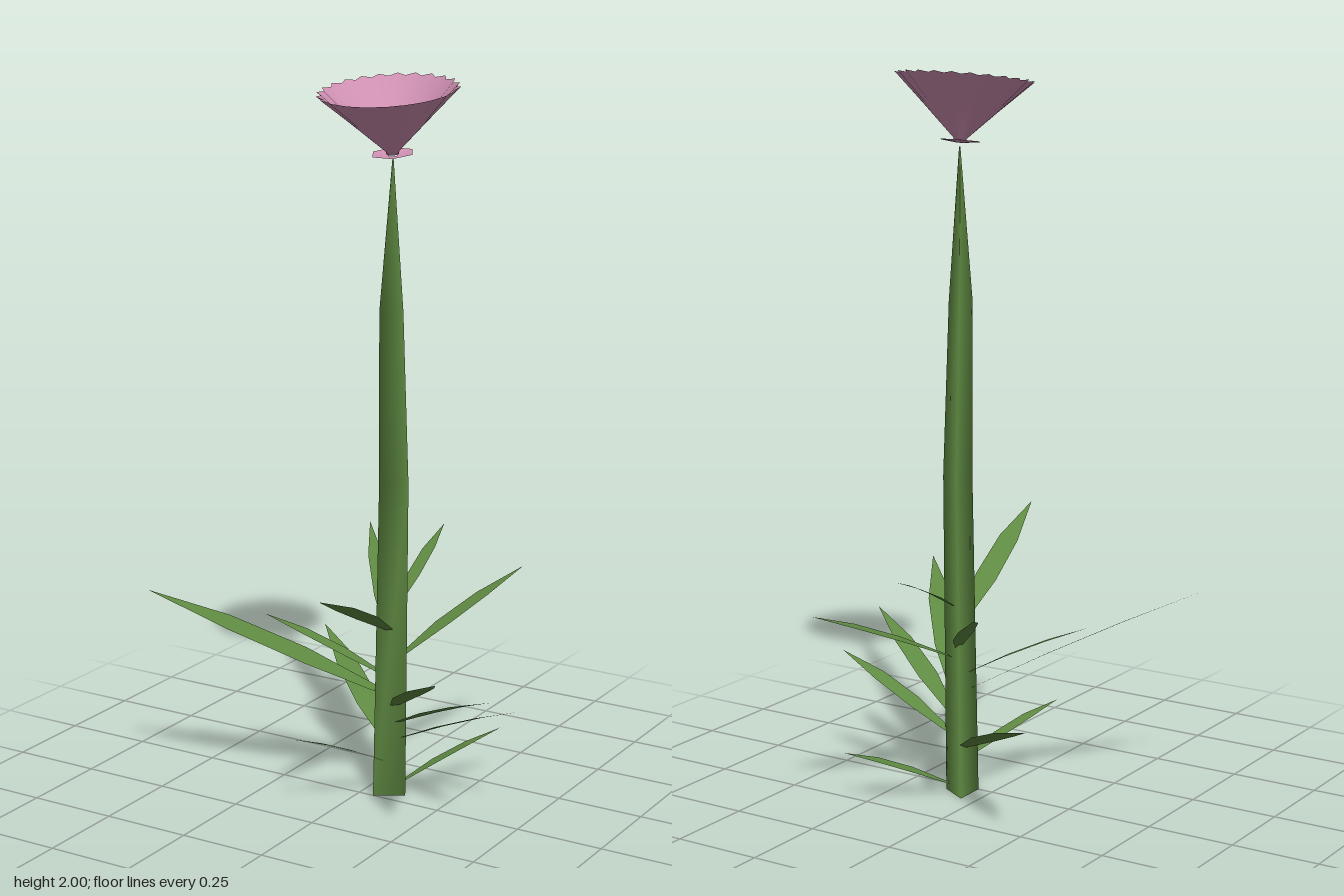
import * as THREE from 'three';
import { mergeVertices } from 'three/addons/utils/BufferGeometryUtils.js';

const green = new THREE.MeshStandardMaterial({ color: 0x5f8a42, side: THREE.DoubleSide });
green.name = 'leaf green';
const pink = new THREE.MeshStandardMaterial({ color: 0xcf90b2, side: THREE.DoubleSide });
pink.name = 'petal pink';

function part(name, geometry, material) {
  const mesh = new THREE.Mesh(geometry, material);
  mesh.name = name;
  return mesh;
}

// Three-sided, softly shaded stem that sways and tapers to a point; rings are [x, y, z, radius]
function stemGeometry() {
  const rings = [
    [0.105, 1.79, 0.004, 0.002],
    [0.08, 1.38, -0.033, 0.037],
    [0.076, 0.9, -0.056, 0.046],
    [0.071, 0, -0.045, 0.052],
  ];
  let g = new THREE.CylinderGeometry(1, 1, 1, 3, rings.length - 1, true, Math.PI / 2);
  const p = g.attributes.position;
  for (let i = 0; i < p.count; i++) {
    const [x, y, z, r] = rings[Math.floor(i / 4)];
    p.setXYZ(i, x + p.getX(i) * r, y, z + p.getZ(i) * r);
  }
  g.deleteAttribute('uv');
  g.deleteAttribute('normal');
  g = mergeVertices(g);
  g.computeVertexNormals();
  return g;
}

// Flat blade in three segments from the stem out to its tip; roll lifts one edge
function leafGeometry(baseY, tip, width, roll) {
  const dir = new THREE.Vector3(tip[0] - 0.08, 0, tip[2] + 0.048).normalize();
  const side = new THREE.Vector3(dir.z, roll, -dir.x);
  const base = new THREE.Vector3(0.08, baseY, -0.048).addScaledVector(dir, 0.028);
  const end = new THREE.Vector3(...tip);
  const positions = [];
  const index = [];
  [[0, 0.35, 0], [0.33, 1, 0.008], [0.66, 0.9, 0.008], [1, 0.01, 0]].forEach(([t, w, lift], i) => {
    const c = base.clone().lerp(end, t);
    c.y += lift;
    for (const s of [0.5, -0.5]) {
      const v = c.clone().addScaledVector(side, s * w * width);
      positions.push(v.x, v.y, v.z);
    }
    if (i > 0) {
      const a = 2 * i - 2;
      index.push(a, a + 2, a + 1, a + 1, a + 2, a + 3);
    }
  });
  const g = new THREE.BufferGeometry();
  g.setAttribute('position', new THREE.Float32BufferAttribute(positions, 3));
  g.setIndex(index);
  g.computeVertexNormals();
  return g;
}

// Funnel-shaped bloom with a toothed rim
function bloomGeometry() {
  const teeth = 24;
  const profile = [[0, 0.004], [0.016, 0.004], [0.018, 0.012], [0.1, 0.092], [0.181, 0.172]]
    .map(([r, y]) => new THREE.Vector2(r, y));
  const g = new THREE.LatheGeometry(profile, teeth * 2);
  const p = g.attributes.position;
  for (let i = 0; i < p.count; i++) {
    if (i % profile.length !== profile.length - 1) continue;
    const s = Math.floor(i / profile.length) % 2 ? 1.04 : 0.96;
    p.setXYZ(i, p.getX(i) * s, p.getY(i) + (s > 1 ? 0.003 : -0.001), p.getZ(i) * s);
  }
  return g;
}

export function createModel() {
  const plant = new THREE.Group();
  plant.name = 'flower plant';
  plant.add(part('stem', stemGeometry(), green));

  // Leaves, lowest first: base height, tip position, width, roll
  const leaves = [
    [0.03, [0.285, 0.15, -0.305], 0.042, -0.15],
    [0.1, [-0.07, 0.22, 0.23], 0.036, 0.15],
    [0.14, [-0.335, 0.335, -0.36], 0.062, -0.3],
    [0.17, [0.5, 0.335, -0.01], 0.045, -0.25],
    [0.22, [0.505, 0.42, 0.175], 0.056, -0.15],
    [0.27, [0.465, 0.53, 0.4], 0.08, 0.05],
    [0.3, [-0.505, 0.59, 0.285], 0.078, -0.27],
    [0.35, [-0.265, 0.5, 0.065], 0.045, -0.1],
    [0.4, [0.26, 0.58, -0.475], 0.06, -0.15],
    [0.43, [-0.24, 0.64, -0.46], 0.058, 0.45],
    [0.49, [0.165, 0.72, 0.47], 0.06, 0.25],
    [0.545, [0.04, 0.69, -0.405], 0.042, -0.2],
  ];
  leaves.forEach((leaf, i) => plant.add(part(`leaf${i + 1}`, leafGeometry(...leaf), green)));

  // Flower head leaning slightly forward
  const head = new THREE.Group();
  head.name = 'flowerHead';
  head.position.set(0.105, 1.8, 0.005);
  head.rotation.x = 0.14;
  head.add(part('bloom', bloomGeometry(), pink));

  // Small flared collar under the bloom
  const collar = [[0.012, 0], [0.06, 0.006]].map(([r, y]) => new THREE.Vector2(r, y));
  head.add(part('collar', new THREE.LatheGeometry(collar, 6, Math.PI / 6), pink));
  plant.add(head);
  return plant;
}
